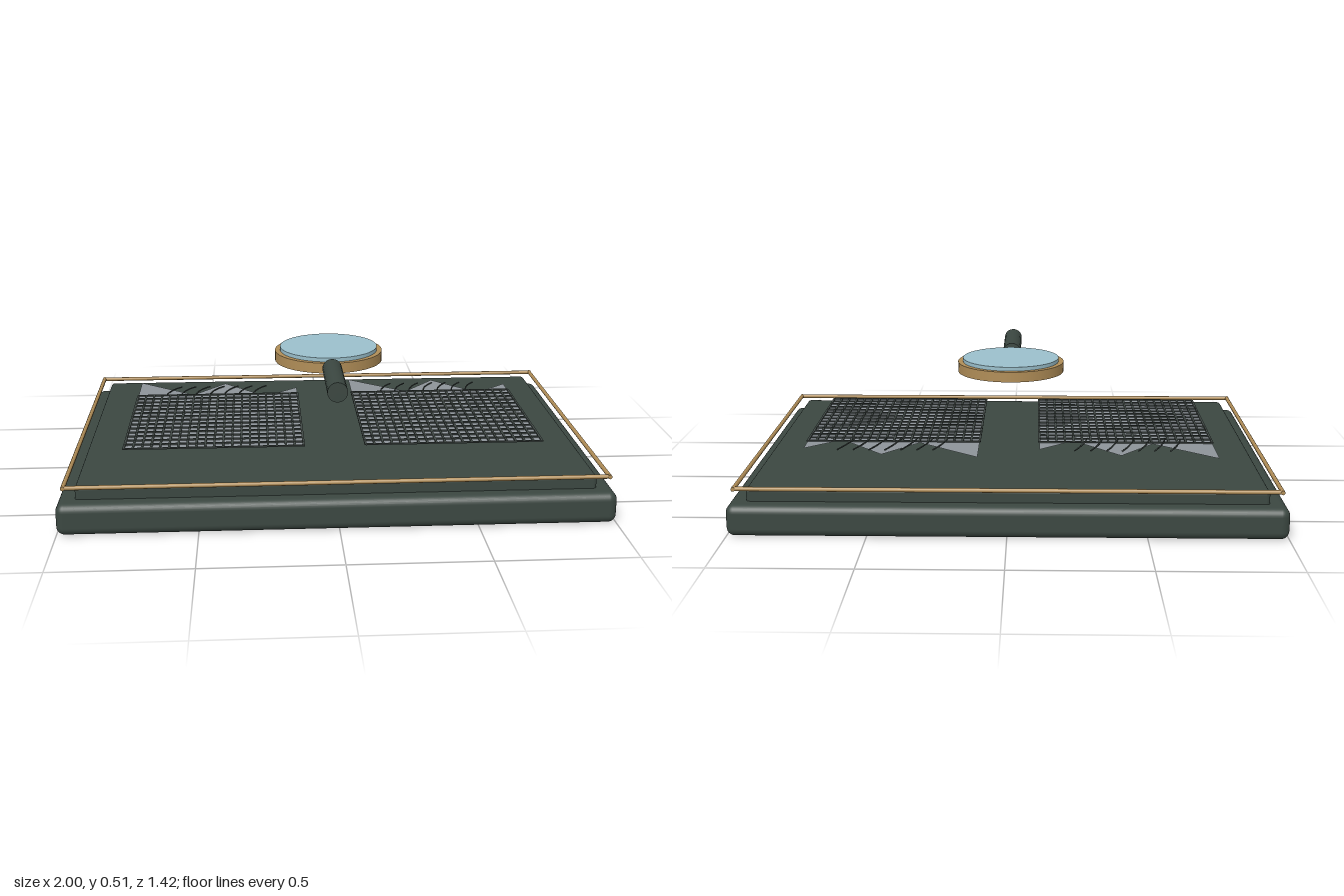
import * as THREE from 'three';
import { RoundedBoxGeometry } from 'three/addons/geometries/RoundedBoxGeometry.js';

export function createModel() {
  const mat = (name, color, side = THREE.FrontSide) => {
    const m = new THREE.MeshStandardMaterial({ color, side });
    m.name = name;
    return m;
  };
  const slate = mat('dark green slate', 0x3b4741);
  const brass = mat('brass', 0xb08d57);
  const glass = mat('pale blue glass', 0x9bc0cc);
  const cloth = mat('grey cloth', 0x8d9499, THREE.DoubleSide);
  const thread = mat('dark thread', 0x3f4744);

  const model = new THREE.Group();
  const add = (parent, name, geometry, material, x = 0, y = 0, z = 0) => {
    const mesh = new THREE.Mesh(geometry, material);
    mesh.name = name;
    mesh.position.set(x, y, z);
    parent.add(mesh);
    return mesh;
  };

  // Stepped tray
  add(model, 'base', new RoundedBoxGeometry(2, 0.116, 1.42, 4, 0.03), slate, 0, 0.058, 0);
  add(model, 'raisedPanel', new RoundedBoxGeometry(1.87, 0.064, 1.3, 3, 0.014), slate, 0, 0.132, 0);

  // Slim rim of four rods floating above the panel
  const rim = new THREE.Group();
  rim.name = 'rim';
  model.add(rim);
  for (const s of [-1, 1]) {
    const long = add(rim, 'longRimRod', new THREE.CylinderGeometry(0.008, 0.008, 1.95, 10), brass, 0, 0.172, s * 0.68);
    long.rotation.z = Math.PI / 2;
    const short = add(rim, 'shortRimRod', new THREE.CylinderGeometry(0.008, 0.008, 1.376, 10), brass, s * 0.97, 0.172, 0);
    short.rotation.x = Math.PI / 2;
  }

  // Woven swatch with a torn back edge, a thread grid and loose strands
  const W = 0.665, Z0 = -0.24, Z1 = 0.43, Y = 0.222;
  const torn = [[0, -0.44], [0.23, -0.25], [0.36, -0.41], [0.51, -0.24], [0.56, -0.24], [W, -0.335]];
  function swatch(name, x0) {
    const group = new THREE.Group();
    group.name = name;
    group.position.x = x0;
    model.add(group);

    const outline = [[0, Z1], [W, Z1], ...torn.slice().reverse()];
    const shape = new THREE.Shape(outline.map(([x, z]) => new THREE.Vector2(x, -z)));
    add(group, 'cloth', new THREE.ShapeGeometry(shape).rotateX(-Math.PI / 2), cloth, 0, Y, 0);

    const columns = 20, rows = 14, depth = Z1 - Z0;
    for (let i = 0; i <= columns; i++)
      add(group, 'warpThread', new THREE.BoxGeometry(0.008, 0.005, depth), thread,
        i * W / columns, Y + 0.002, (Z0 + Z1) / 2);
    for (let i = 0; i <= rows; i++)
      add(group, 'weftThread', new THREE.BoxGeometry(W, 0.005, 0.009), thread,
        W / 2, Y + 0.003, Z0 + i * depth / rows);

    for (let i = 0; i < 7; i++) {
      const x = 0.12 + i * 0.06;
      const path = new THREE.QuadraticBezierCurve3(
        new THREE.Vector3(x, Y + 0.011, -0.215),
        new THREE.Vector3(x + 0.01, Y + 0.011, -0.29),
        new THREE.Vector3(x + 0.055, Y + 0.002, -0.36));
      add(group, 'looseStrand', new THREE.TubeGeometry(path, 8, 0.003, 5), thread);
    }
  }
  swatch('rightSwatch', -0.78);
  swatch('leftSwatch', 0.115);

  // Hovering magnifier
  const magnifier = new THREE.Group();
  magnifier.name = 'magnifier';
  magnifier.position.z = 0.028;
  model.add(magnifier);
  add(magnifier, 'lensRing', new THREE.CylinderGeometry(0.211, 0.211, 0.04, 48), brass, 0, 0.466, 0);
  add(magnifier, 'lens', new THREE.CylinderGeometry(0.191, 0.191, 0.02, 48), glass, 0, 0.491, 0);
  const handle = add(magnifier, 'handle', new THREE.CylinderGeometry(0.037, 0.037, 0.315, 20), slate, 0, 0.472, 0.39);
  handle.rotation.x = Math.PI / 2;

  return model;
}
